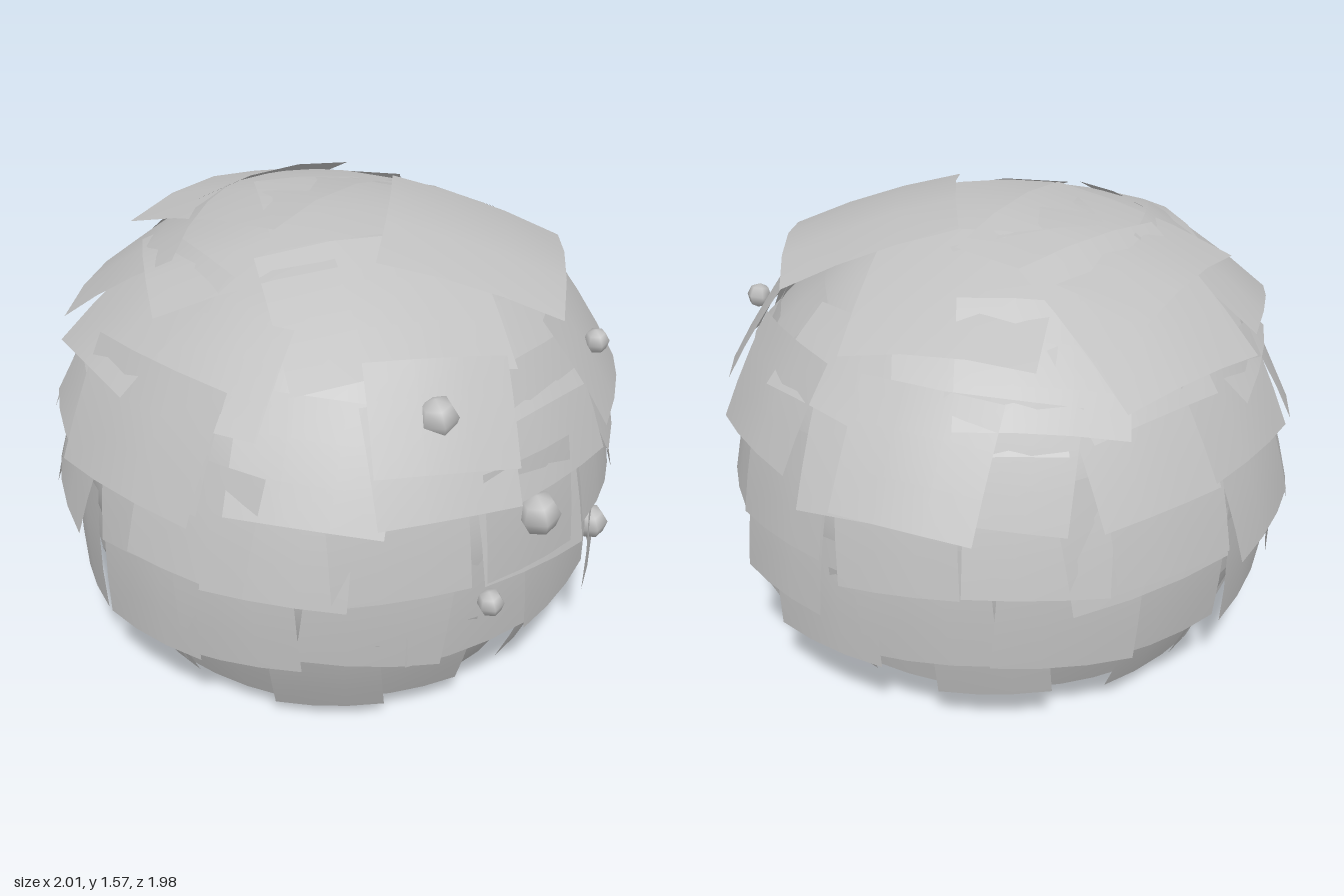
import * as THREE from 'three';

const grey = new THREE.MeshStandardMaterial({ color: 0xc0c0c0, side: THREE.DoubleSide });
grey.name = 'stone grey';

// Small seeded generator, returns -1..1
let seed = 11;
const jitter = () => {
  seed = (seed * 16807) % 2147483647;
  return (seed / 2147483647) * 2 - 1;
};

// Gently domed rectangular sheet facing outwards.
// az: angle round the body from +z to +x, tilt: upward lean of its face (degrees)
function plate(name, az, r, y, tilt, w, h, twist) {
  const geo = new THREE.PlaneGeometry(w, h, 3, 3);
  geo.rotateZ(THREE.MathUtils.degToRad(twist));
  const p = geo.attributes.position;
  for (let i = 0; i < p.count; i++) {
    p.setZ(i, -0.42 * p.getX(i) ** 2 - 0.2 * p.getY(i) ** 2);
  }
  geo.computeVertexNormals();
  const mesh = new THREE.Mesh(geo, grey);
  const a = THREE.MathUtils.degToRad(az);
  mesh.position.set(Math.sin(a) * r, y, Math.cos(a) * r);
  mesh.rotation.set(-THREE.MathUtils.degToRad(tilt), a, 0, 'YXZ');
  mesh.name = name;
  return mesh;
}

export function createModel() {
  const model = new THREE.Group();
  model.name = 'shingledDome';

  // Rounded body with a broad, shallow underside
  const outline = [
    [0, 0.015], [0.34, 0.04], [0.56, 0.13], [0.74, 0.29], [0.84, 0.48], [0.88, 0.68],
    [0.86, 0.88], [0.78, 1.09], [0.65, 1.26], [0.42, 1.4], [0, 1.47],
  ].map(([x, y]) => new THREE.Vector2(x, y));
  const points = new THREE.SplineCurve(outline).getPoints(40);
  points[0].x = points[40].x = 0;
  const body = new THREE.Mesh(new THREE.LatheGeometry(points, 40), grey);
  body.name = 'body';
  model.add(body);

  // Hem plates, set higher where the underside is bare
  const hem = new THREE.Group();
  hem.name = 'hemPlates';
  for (const [az, y] of [
    [-172, 0.27], [-150, 0.25], [-126, 0.28], [-101, 0.27], [-76, 0.28], [-50, 0.25], [-29, 0.29],
    [13, 0.29], [37, 0.27], [56, 0.29], [76, 0.3], [100, 0.42], [123, 0.38], [146, 0.32], [167, 0.28],
  ]) {
    const low = y < 0.35;
    hem.add(plate('hemPlate', az, low ? 0.81 : 0.87, y, low ? -22 : -12,
      0.38 + 0.04 * jitter(), 0.38, 5 * jitter()));
  }
  hem.add(plate('hemPlate', -10, 0.7, 0.17, -30, 0.32, 0.37, 1));
  model.add(hem);

  // Overlapping rows up the sides, lying closer at the front:
  // name, count, first angle, radius, height, tilt, width, plate height
  const rows = [
    ['lowerPlates', 14, 10, 0.91, 0.54, 0, 0.43, 0.42],
    ['middlePlates', 13, 22, 0.915, 0.82, 14, 0.43, 0.4],
    ['upperPlates', 12, 5, 0.865, 1.06, 29, 0.45, 0.38],
    ['shoulderPlates', 9, 0, 0.74, 1.24, 46, 0.5, 0.34],
  ];
  for (const [name, count, start, r, y, tilt, w, h] of rows) {
    const row = new THREE.Group();
    row.name = name;
    for (let i = 0; i < count; i++) {
      const az = start + (360 * i) / count + 3 * jitter();
      row.add(plate(name.slice(0, -1), az,
        r - 0.02 * Math.cos(THREE.MathUtils.degToRad(az)) + 0.01 * jitter(),
        y + 0.04 * jitter(), tilt + 4 * jitter(),
        w * (1 + 0.1 * jitter()), h * (1 + 0.1 * jitter()), 7 * jitter()));
    }
    model.add(row);
  }

  // Larger individual plates: angle, radius, height, tilt, width, plate height, twist
  const crown = [
    [180, 0.37, 1.535, 79, 0.64, 0.66, 5],
    [0, 0, 1.565, 89, 0.52, 0.5, 53],
    [29, 0.46, 1.505, 72, 0.64, 0.6, 9],
    [-113, 0.38, 1.5, 75, 0.58, 0.58, -14],
    [-111, 0.7, 1.34, 54, 0.5, 0.5, 5],
    [168, 0.64, 1.41, 57, 0.58, 0.56, 0],
    [-145, 0.67, 1.38, 55, 0.52, 0.5, -12],
    [108, 0.5, 1.465, 69, 0.6, 0.55, 5],
    [-30, 0.5, 1.43, 62, 0.7, 0.52, -1],
    [135, 0.72, 1.32, 48, 0.52, 0.42, -8],
  ];
  const flared = [
    [154, 0.925, 0.83, 14, 0.57, 0.42, 4],
    [-90, 0.91, 1.1, 26, 0.58, 0.42, 0],
    [109, 0.915, 1.1, 34, 0.45, 0.42, -4],
    [76, 0.94, 0.64, 9, 0.42, 0.36, 3],
    [-75, 0.94, 0.88, 17, 0.42, 0.38, -4],
    [-7, 0.925, 0.83, 7, 0.37, 0.37, 0],
    [-25, 0.83, 1.2, 36, 0.46, 0.34, -7],
    [30, 0.83, 1.17, 32, 0.46, 0.42, 3],
  ];
  crown.forEach((c) => model.add(plate('crownPlate', ...c)));
  flared.forEach((c) => model.add(plate('flaredPlate', ...c)));

  // Small faceted knobs on the front
  for (const [x, y, z, r] of [
    [-0.36, 1.19, 0.73, 0.065], [0.4, 1.17, 0.76, 0.042], [-0.11, 0.83, 0.935, 0.07],
    [-0.24, 0.53, 0.87, 0.045], [0.39, 0.5, 0.81, 0.058],
  ]) {
    const knob = new THREE.Mesh(new THREE.SphereGeometry(r, 6, 4), grey);
    knob.position.set(x, y, z);
    knob.rotation.z = 0.2;
    knob.name = 'knob';
    model.add(knob);
  }
  return model;
}
